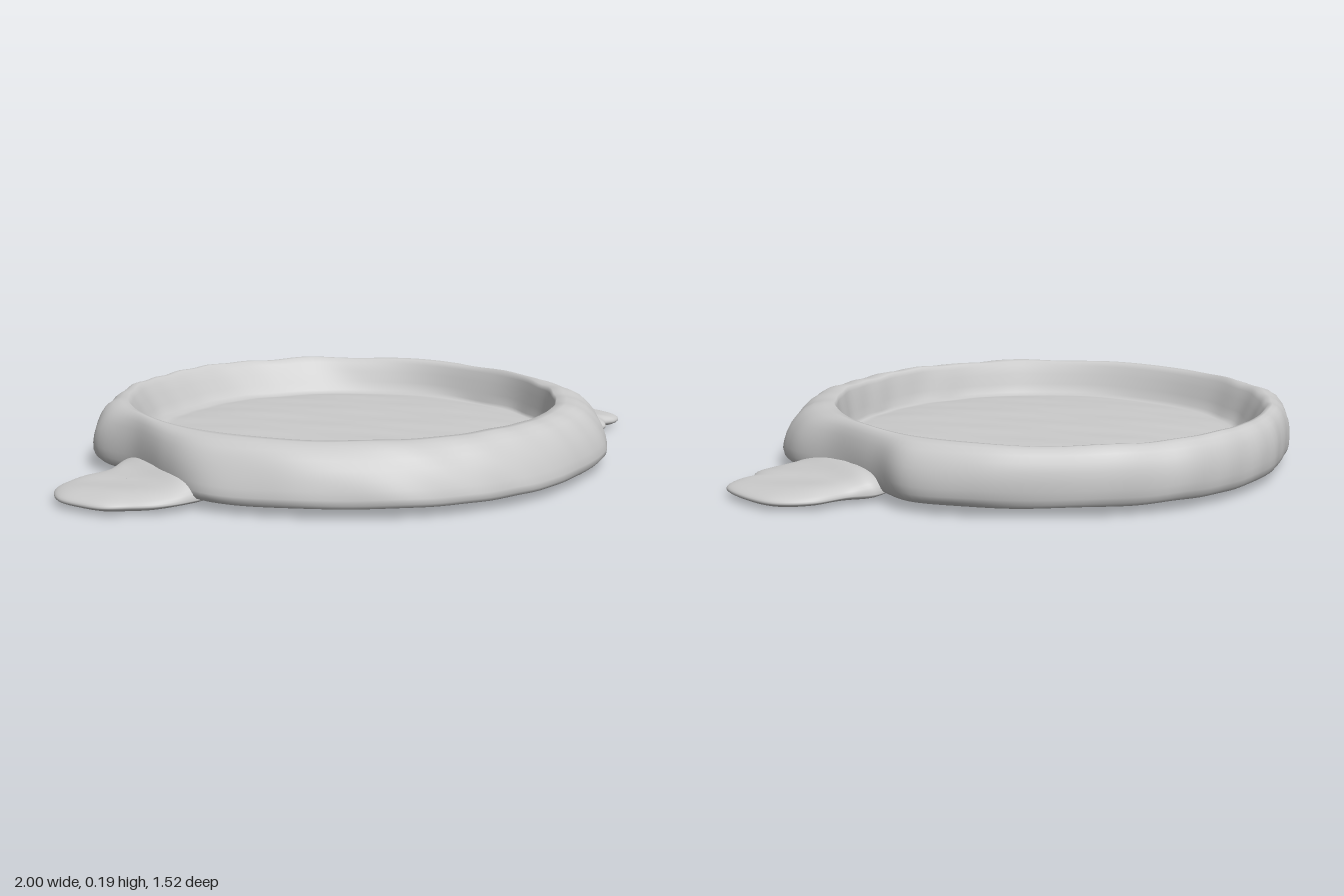
import * as THREE from 'three';

const SEG = 160;
const lerp = THREE.MathUtils.lerp;
const material = new THREE.MeshStandardMaterial({ color: 0xcccccc });

// Smooth hand-pressed unevenness, roughly -1..1
const wobble = (x, y, z) =>
  (Math.sin(19 * x + 7 * z + 11 * y) + Math.sin(23 * z - 9 * x + 5 * y + 1) + Math.sin(37 * x - 31 * z + 17 * y + 2)) / 3;

// Joins closed rings of points; rings run from the top centre over the rim to the bottom centre
function loft(name, rings, pointAt) {
  const positions = [], index = [];
  rings.forEach((ring, r) => {
    for (let i = 0; i < SEG; i++) {
      positions.push(...pointAt(ring, i / SEG));
      if (r === rings.length - 1) continue;
      const a = r * SEG + i, b = r * SEG + (i + 1) % SEG;
      index.push(a, b, a + SEG, b, b + SEG, a + SEG);
    }
  });
  const geometry = new THREE.BufferGeometry();
  geometry.setAttribute('position', new THREE.Float32BufferAttribute(positions, 3));
  geometry.setIndex(index);
  geometry.computeVertexNormals();
  const mesh = new THREE.Mesh(geometry, material);
  mesh.name = name;
  return mesh;
}

// Outer radius every 15 degrees, from +x towards +z
const OUTER = [0.70, 0.775, 0.78, 0.77, 0.755, 0.76, 0.76, 0.765, 0.76, 0.77, 0.785, 0.735,
  0.71, 0.785, 0.77, 0.75, 0.755, 0.76, 0.76, 0.75, 0.74, 0.75, 0.76, 0.69];
const outerCurve = new THREE.CatmullRomCurve3(
  OUTER.map((r, i) => {
    const a = i / OUTER.length * Math.PI * 2;
    return new THREE.Vector3(r * Math.cos(a), 0, r * Math.sin(a));
  }), true);

// Rim section: [height, fraction outwards at the front, fraction outwards at the back]
const RIM = [[0.19, 0, 0], [0.191, 0.18, 0.2], [0.185, 0.38, 0.42], [0.172, 0.53, 0.66], [0.152, 0.66, 0.83],
  [0.128, 0.78, 0.95], [0.102, 0.88, 1], [0.077, 0.95, 1], [0.055, 1, 0.96], [0.04, 1, 0.88], [0.03, 0.95, 0.75]];

// Dish rings: [zone, height, fraction across the zone (front, back)]
function makeDish() {
  const rings = [];
  for (let i = 0; i <= 20; i++) rings.push(['floor', 0.096 - 0.018 * (i / 20) ** 4, Math.max(i / 20, 0.001)]);
  rings.push(['wall', 0.088, 0.2], ['wall', 0.115, 0.4], ['wall', 0.148, 0.62], ['wall', 0.176, 0.84]);
  RIM.forEach(([h, front, back]) => rings.push(['rim', h, front, back]));
  for (let i = 9; i >= 0; i--) rings.push(['base', 0.02 + 0.008 * i / 10, Math.max(i / 10, 0.001)]);

  return loft('dish', rings, ([zone, h, t, back], u) => {
    const a = u * Math.PI * 2, c = Math.cos(a), s = Math.sin(a);
    const outer = outerCurve.getPoint(u);
    const floor = [0.595 * c, -0.01 + 0.6 * s];
    const ridge = [-0.015 + 0.648 * c, -0.035 + 0.66 * s];
    let x, z;
    if (zone === 'floor') [x, z] = [floor[0] * t, floor[1] * t];
    else if (zone === 'wall') [x, z] = [lerp(floor[0], ridge[0], t), lerp(floor[1], ridge[1], t)];
    else if (zone === 'rim') {
      const out = lerp(back, t, (s + 1) / 2);
      [x, z] = [lerp(ridge[0], outer.x, out), lerp(ridge[1], outer.z, out)];
    } else [x, z] = [outer.x * 0.93 * t, outer.z * 0.93 * t];
    const n = wobble(x, h, z);
    const side = zone === 'rim' || zone === 'wall' ? 0.005 : 0;
    return [x + c * n * side, h + n * (zone === 'rim' ? 0.004 : 0.002), z + s * n * side];
  });
}

// Thin tab handle that rises slightly where it is pressed onto the rim
function makeHandle(name, outline) {
  const curve = new THREE.CatmullRomCurve3(outline.map(([x, z]) => new THREE.Vector3(x, 0, z)), true);
  const centre = new THREE.Box3().setFromPoints(curve.getPoints(60)).getCenter(new THREE.Vector3());
  const rings = [];
  for (let i = 0; i <= 14; i++) rings.push([Math.max(Math.sin(i / 14 * Math.PI / 2), 0.001), 1]);
  for (let i = 13; i >= 0; i--) rings.push([Math.max(Math.sin(i / 14 * Math.PI / 2), 0.001), -1]);
  return loft(name, rings, ([t, face], u) => {
    const p = curve.getPoint(u).lerp(centre, 1 - t);
    const ax = Math.abs(p.x);
    const bulge = Math.sqrt(Math.max(0, 1 - t ** 5));
    const middle = 0.026 - 0.01 * (ax - 0.7);
    const flare = 0.025 * Math.exp(-(((ax - 0.68) / 0.05) ** 2));
    const top = 0.034 - 0.04 * (ax - 0.7) + flare;
    const y = face > 0 ? middle + top * bulge : middle - 0.02 * bulge;
    return [p.x, Math.max(0, y + 0.003 * wobble(p.x, y, p.z) * bulge), p.z];
  });
}

export function createModel() {
  const group = new THREE.Group();
  group.name = 'handledDish';
  group.add(makeDish());
  group.add(makeHandle('leftHandle', [[0.61, -0.2], [0.67, -0.25], [0.75, -0.235], [0.86, -0.24], [0.95, -0.19],
    [0.99, -0.1], [1, 0.04], [0.96, 0.08], [0.91, 0.09], [0.87, 0.14], [0.78, 0.16], [0.7, 0.15], [0.61, 0.12]]));
  group.add(makeHandle('rightHandle', [[-0.62, 0.32], [-0.71, 0.36], [-0.8, 0.36], [-0.87, 0.33], [-0.93, 0.3],
    [-0.97, 0.24], [-1, 0.15], [-0.97, 0.05], [-0.9, 0], [-0.78, -0.04], [-0.71, -0.09], [-0.62, -0.07]]));
  return group;
}
